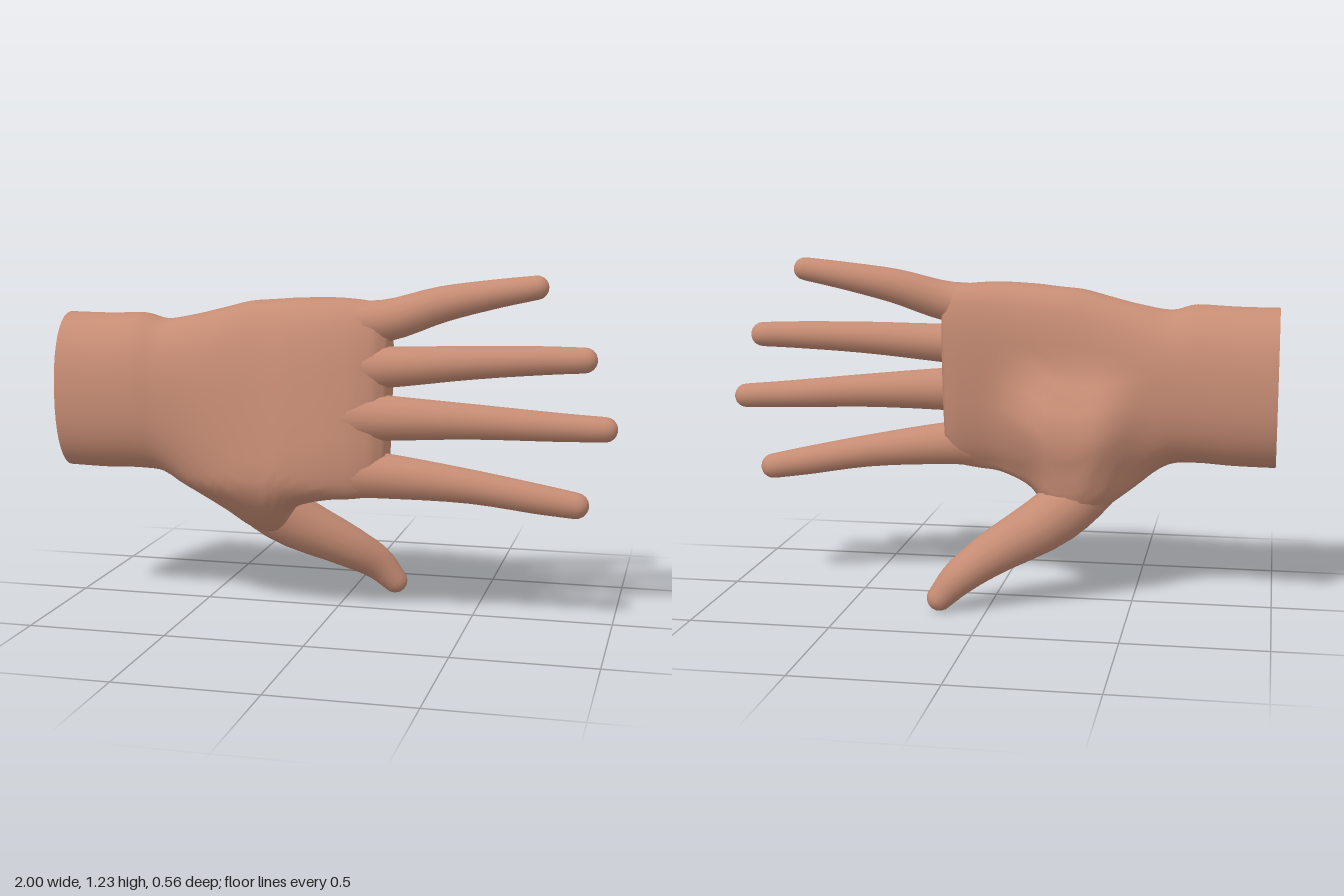
import * as THREE from 'three';

const skin = new THREE.MeshStandardMaterial({ color: 0xc68c74 });
skin.name = 'skin';

// Smooth skin over a list of rings (arrays of Vector3, counter-clockwise about the path)
function skinRings(name, rings, closeStart = false) {
  const n = rings[0].length, pos = [], idx = [];
  rings.forEach(r => r.forEach(p => pos.push(p.x, p.y, p.z)));
  for (let i = 0; i < rings.length - 1; i++) {
    for (let j = 0; j < n; j++) {
      const k = (j + 1) % n, a = i * n + j, b = i * n + k, c = a + n, d = b + n;
      idx.push(a, b, c, b, d, c);
    }
  }
  // closing fan at the far end, and at the near end when asked
  const fan = (ring, flip, base) => {
    const c = ring.reduce((s, p) => s.add(p), new THREE.Vector3()).divideScalar(n);
    const m = pos.length / 3;
    pos.push(c.x, c.y, c.z);
    for (let j = 0; j < n; j++) {
      const k = (j + 1) % n;
      if (flip) idx.push(m, base + k, base + j);
      else idx.push(m, base + j, base + k);
    }
  };
  fan(rings[rings.length - 1], false, (rings.length - 1) * n);
  if (closeStart) fan(rings[0], true, 0);
  const geo = new THREE.BufferGeometry();
  geo.setAttribute('position', new THREE.Float32BufferAttribute(pos, 3));
  geo.setIndex(idx);
  geo.computeVertexNormals();
  const mesh = new THREE.Mesh(geo, skin);
  mesh.name = name;
  return mesh;
}

// Tapered digit through stations [x, y, z, radius], ending in a round tip
function digit(name, stations, steps = 18, sides = 16) {
  const curve = new THREE.CatmullRomCurve3(stations.map(s => new THREE.Vector3(s[0], s[1], s[2])));
  const radius = new THREE.CatmullRomCurve3(stations.map((s, i) => new THREE.Vector3(s[3], i, 0)));
  const rings = [];
  const ring = (c, t, r) => {
    const a = new THREE.Vector3(0, 0, 1).cross(t).normalize();
    const b = t.clone().cross(a);
    rings.push(Array.from({ length: sides }, (_, j) => {
      const w = j / sides * Math.PI * 2;
      return c.clone().addScaledVector(a, r * Math.cos(w)).addScaledVector(b, r * Math.sin(w));
    }));
  };
  for (let i = 0; i <= steps; i++) {
    const u = i / steps;
    ring(curve.getPoint(u), curve.getTangent(u), radius.getPoint(u).x);
  }
  const end = curve.getPoint(1), dir = curve.getTangent(1), r = stations[stations.length - 1][3];
  for (let k = 1; k <= 4; k++) {
    const w = k / 4.4 * Math.PI / 2;
    ring(end.clone().addScaledVector(dir, r * Math.sin(w)), dir, r * Math.cos(w));
  }
  return skinRings(name, rings, true);
}

// Wrist and palm: stations [x, yLow, yHigh, zPalm, zBack, slant]
function palmRings() {
  const st = [
    [-1.00, 0.50, 1.07, -0.11, 0.235, 0],
    [-0.85, 0.50, 1.07, -0.10, 0.25, 0],
    [-0.71, 0.505, 1.075, -0.09, 0.26, 0],
    [-0.62, 0.495, 1.055, -0.085, 0.25, 0.02],
    [-0.50, 0.415, 1.075, -0.08, 0.24, 0.04],
    [-0.40, 0.345, 1.10, -0.07, 0.24, 0.06],
    [-0.30, 0.275, 1.125, -0.055, 0.245, 0.08],
    [-0.22, 0.28, 1.132, -0.045, 0.252, 0.10],
    [-0.13, 0.39, 1.14, -0.03, 0.26, 0.12],
    [0.00, 0.435, 1.145, -0.005, 0.256, 0.13],
    [0.10, 0.445, 1.14, 0.01, 0.24, 0.13],
    [0.17, 0.46, 1.125, 0.025, 0.212, 0.12],
    [0.21, 0.50, 1.07, 0.05, 0.17, 0.12],
  ];
  const lo = new THREE.CatmullRomCurve3(st.map(s => new THREE.Vector3(s[0], s[1], s[3])));
  const hi = new THREE.CatmullRomCurve3(st.map(s => new THREE.Vector3(s[5], s[2], s[4])));
  const rings = [], steps = 48, sides = 40;
  for (let i = 0; i <= steps; i++) {
    const l = lo.getPoint(i / steps), h = hi.getPoint(i / steps);
    const cy = (l.y + h.y) / 2, hy = (h.y - l.y) / 2, cz = (l.z + h.z) / 2, hz = (h.z - l.z) / 2;
    // oval at the wrist, squarer at the knuckles, most of all on the back of the hand
    const grow = THREE.MathUtils.smoothstep(l.x, -0.7, -0.1);
    rings.push(Array.from({ length: sides }, (_, j) => {
      const w = j / sides * Math.PI * 2;
      const e = 0.9 - (Math.sin(w) > 0 ? 0.28 : 0.14) * grow;
      const pow = v => Math.sign(v) * Math.pow(Math.abs(v), e);
      const y = cy + hy * pow(Math.cos(w));
      // the lower edge leans toward the thumb
      let z = cz + hz * pow(Math.sin(w)) - h.x * (y - cy) - 0.75 * Math.max(0, 0.47 - y);
      // fleshy mound at the root of the thumb
      if (Math.sin(w) < 0) {
        z -= 0.13 * Math.sqrt(-Math.sin(w))
          * Math.exp(-(((l.x + 0.26) / 0.22) ** 4) - (((y - 0.56) / 0.21) ** 4));
      }
      return new THREE.Vector3(l.x, y, z);
    }));
  }
  return rings;
}

export function createModel() {
  const hand = new THREE.Group();
  hand.name = 'hand';

  const rings = palmRings();
  hand.add(skinRings('palmAndWrist', rings));

  // flat cut across the wrist
  const cutShape = new THREE.Shape(rings[0].map(p => new THREE.Vector2(p.z, p.y)));
  const cut = new THREE.Mesh(new THREE.ShapeGeometry(cutShape), skin);
  cut.name = 'wristCut';
  cut.rotation.y = -Math.PI / 2;
  cut.position.x = -1;
  hand.add(cut);

  // four fingers, root to tip
  const fingers = {
    indexFinger: [[-0.2, 0.55, 0.15, 0.08], [0.0, 0.54, 0.17, 0.093], [0.2, 0.53, 0.158, 0.081],
      [0.5, 0.499, 0.12, 0.061], [0.75, 0.457, 0.085, 0.053], [0.865, 0.438, 0.067, 0.047]],
    middleFinger: [[-0.2, 0.735, 0.135, 0.08], [0.0, 0.737, 0.158, 0.095], [0.2, 0.735, 0.157, 0.081],
      [0.5, 0.728, 0.12, 0.063], [0.8, 0.713, 0.075, 0.051], [0.957, 0.707, 0.051, 0.045]],
    ringFinger: [[-0.2, 0.9, 0.115, 0.08], [0.0, 0.905, 0.133, 0.09], [0.2, 0.91, 0.13, 0.073],
      [0.5, 0.93, 0.09, 0.059], [0.75, 0.94, 0.05, 0.05], [0.88, 0.942, 0.03, 0.045]],
    littleFinger: [[-0.2, 1.03, 0.08, 0.075], [0.0, 1.05, 0.1, 0.083], [0.2, 1.07, 0.094, 0.073],
      [0.38, 1.125, 0.053, 0.063], [0.56, 1.162, 0.025, 0.051], [0.708, 1.187, 0.01, 0.042]],
  };
  for (const [name, stations] of Object.entries(fingers)) hand.add(digit(name, stations));

  // thumb swings down and away from the palm
  hand.add(digit('thumb', [[-0.5, 0.6, 0.06, 0.08], [-0.36, 0.44, 0.0, 0.1], [-0.22, 0.315, -0.06, 0.103],
    [0, 0.187, -0.155, 0.079], [0.1, 0.115, -0.212, 0.064], [0.165, 0.044, -0.232, 0.047]]));
  return hand;
}
